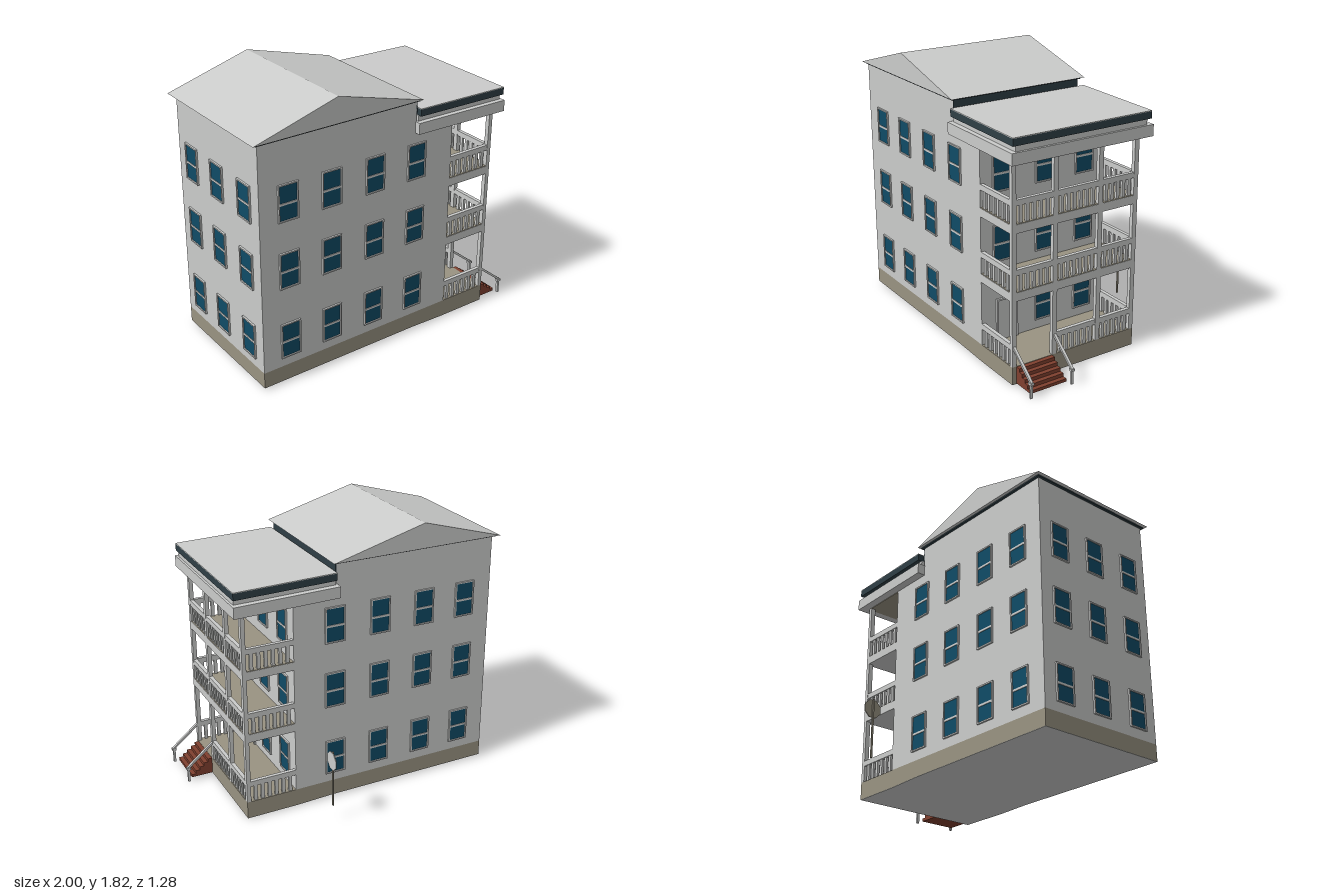
import * as THREE from 'three';

const mat = (name, color) => {
  const m = new THREE.MeshStandardMaterial({ color });
  m.name = name;
  return m;
};

export function createModel() {
  const wall = mat('wall grey', 0xcbcccb);
  const glass = mat('window blue', 0x0f4b66);
  const stone = mat('foundation tan', 0x999382);
  const dark = mat('fascia slate', 0x2f3f46);
  const brick = mat('step red', 0x80402f);

  const root = new THREE.Group();
  root.name = 'apartmentHouse';
  const group = (name, parent = root) => {
    const g = new THREE.Group();
    g.name = name;
    parent.add(g);
    return g;
  };
  const add = (name, geo, m, parent = root) => {
    const mesh = new THREE.Mesh(geo, m);
    mesh.name = name;
    parent.add(mesh);
    return mesh;
  };
  // Box given by its lower and upper limits on each axis
  const box = (name, m, x0, x1, y0, y1, z0, z1, parent = root) => {
    const mesh = add(name, new THREE.BoxGeometry(x1 - x0, y1 - y0, z1 - z0), m, parent);
    mesh.position.set((x0 + x1) / 2, (y0 + y1) / 2, (z0 + z1) / 2);
    return mesh;
  };
  // Outline in x and y, drawn out along z
  const prism = (name, m, pts, z0, z1, parent = root) => {
    const shape = new THREE.Shape(pts.map(([x, y]) => new THREE.Vector2(x, y)));
    const geo = new THREE.ExtrudeGeometry(shape, { depth: z1 - z0, bevelEnabled: false });
    geo.translate(0, 0, z0);
    return add(name, geo, m, parent);
  };

  const L = -0.96, W = 0.463, P = 0.805;   // left wall, porch wall, porch edge
  const B = -0.325, F = 0.6;               // back and front walls

  // Foundation and main walls
  prism('foundation', stone, [[L, 0.018], [0.2, 0.016], [0.45, 0.008], [P, 0.008], [P, 0.125], [L, 0.125]], B, F);
  prism('foundationUnderside', wall, [[L, 0.016], [0.2, 0.014], [0.45, 0.006], [P, 0.006], [P, 0.008], [0.45, 0.008], [0.2, 0.016], [L, 0.018]], B, F);
  prism('mainWalls', wall, [[L, 0.125], [W, 0.125], [W, 1.45], [0.17, 1.45], [0.17, 1.642], [L, 1.642]], B, F);

  // Gable roof
  box('eaveTrim', dark, -0.975, 0.185, 1.639, 1.648, B - 0.015, F + 0.015);
  prism('gableRoof', wall, [[-1, 1.648], [0.2, 1.648], [-0.43, 1.815]], -0.36, 0.627);
  box('upperBand', dark, 0.168, 0.174, 1.55, 1.642, B, F);

  // Porch roof: layers that fall slightly toward the outer edge
  const layer = (name, m, x0, x1, y0, y1, z0, z1) =>
    prism(name, m, [[x0, y0], [x1, y0 - 0.01], [x1, y1 - 0.01], [x0, y1]], z0, z1, porchRoof);
  const porchRoof = group('porchRoof');
  layer('cornice', wall, 0.165, 0.865, 1.432, 1.506, -0.38, 0.638);
  layer('frieze', wall, 0.18, 0.85, 1.506, 1.545, -0.34, 0.605);
  layer('fascia', dark, 0.183, 0.86, 1.543, 1.588, -0.367, 0.628);
  layer('roofTop', wall, 0.183, 0.86, 1.588, 1.593, -0.367, 0.628);
  prism('porchCeiling', stone, [[W, 1.4237], [P, 1.4188], [P, 1.423], [W, 1.43]], B, F, porchRoof);

  // Sash window, facing +z, centred at its bottom
  const makeWindow = (parent, x, y, z, turn) => {
    const g = group('window', parent);
    const w = 0.07, h = 0.24, t = 0.009, d = 0.012;
    box('pane', glass, -w + t, w - t, t, h - t, 0, 0.005, g);
    for (const s of [-1, 1]) {
      const c = s * (w - t / 2);
      box('frameSide', wall, c - t / 2, c + t / 2, 0, h, 0, d, g);
    }
    box('frameBottom', wall, -w + t, w - t, 0, t, 0, d, g);
    box('frameTop', wall, -w + t, w - t, h - t, h, 0, d, g);
    box('sashBar', wall, -w + t, w - t, 0.107, 0.121, 0, 0.009, g);
    g.position.set(x, y, z);
    g.rotation.y = turn;
  };
  const windows = group('windows');
  [0.187, 0.675, 1.12].forEach((y, floor) => {
    for (const x of [-0.765, -0.46, -0.14, 0.18]) {
      makeWindow(windows, x, y, F, 0);
      makeWindow(windows, x, y, B, Math.PI);
    }
    for (const z of [0.445, 0.135, -0.165]) {
      makeWindow(windows, L, y, z, -Math.PI / 2);
      if (floor > 0 || z < 0.4) makeWindow(windows, W, y - (floor === 1 ? 0.008 : 0), z, Math.PI / 2);
    }
  });

  // Entrance door
  const door = group('door');
  box('doorPanel', wall, W, W + 0.005, 0.125, 0.4, 0.35, 0.48, door);
  for (const z of [0.338, 0.482]) box('doorJamb', wall, W, W + 0.014, 0.125, 0.412, z, z + 0.012, door);
  box('doorHead', wall, W, W + 0.014, 0.4, 0.412, 0.35, 0.482, door);

  // Porch posts and floors
  const porch = group('porch');
  const D = 0.03;
  const posts = [[0.57, F], [0.275, 0.308], [-0.055, -0.022], [B, -0.293]];
  for (const [z0, z1] of posts) box('post', wall, P - D + 0.003, P, 0.125, 1.43, z0, z1, porch);
  for (const y of [0.555, 0.985]) {
    box('porchSlab', wall, W, P, y, y + 0.055, B, F, porch);
    box('porchFloor', stone, W, P - 0.002, y + 0.055, y + 0.058, B + 0.002, F - 0.002, porch);
  }

  // Railing run along x or z: top rail and evenly spaced balusters
  const railing = (along, a, b, c, y) => {
    const g = group('railing', porch);
    const put = (name, u0, u1, y0, y1, half) => along === 'x'
      ? box(name, wall, u0, u1, y0, y1, c - half, c + half, g)
      : box(name, wall, c - half, c + half, y0, y1, u0, u1, g);
    put('topRail', a, b, y + 0.11, y + 0.146, 0.0125);
    const n = Math.round((b - a) / 0.043) - 1;
    const gap = (b - a - n * 0.023) / (n + 1);
    for (let i = 0; i < n; i++) {
      const u = a + gap + i * (gap + 0.023);
      put('baluster', u, u + 0.023, y, y + 0.11, 0.008);
    }
  };
  [0.125, 0.61, 1.045].forEach((y, floor) => {
    railing('x', W, P - D + 0.003, F - 0.0135, y);
    railing('x', W, P - D + 0.003, B + 0.0135, y);
    for (let i = floor ? 0 : 1; i < 3; i++) railing('z', posts[i + 1][1], posts[i][0], P - 0.0135, y);
  });

  // Entrance steps
  const steps = group('steps');
  for (let i = 0; i < 5; i++)
    box('step', brick, P + i * 0.03, P + (i + 1) * 0.03, 0.01, 0.122 - i * 0.023, 0.308, 0.57, steps);

  // Slanted handrails with end posts
  const handrails = group('handrails');
  for (const z of [0.288, 0.585]) {
    prism('handrail', wall, [[P - 0.005, 0.245], [0.992, 0.09], [0.992, 0.108], [P - 0.005, 0.265]], z - 0.009, z + 0.009, handrails);
    box('handrailPost', wall, 0.975, 0.99, 0, 0.1, z - 0.008, z + 0.008, handrails);
    box('postCap', wall, 0.968, 0.997, 0.09, 0.106, z - 0.012, z + 0.012, handrails);
  }

  // Octagonal street sign on a pole
  const sign = group('streetSign');
  box('signPole', stone, 0.322, 0.33, 0.115, 0.505, -0.591, -0.579, sign);
  const plate = (name, m, x) => {
    const geo = new THREE.CylinderGeometry(0.064, 0.064, 0.003, 8);
    geo.rotateY(Math.PI / 8).rotateZ(-Math.PI / 2);
    add(name, geo, m, sign).position.set(x, 0.443, -0.585);
  };
  plate('signFace', wall, 0.3345);
  plate('signBack', stone, 0.3315);

  return root;
}
